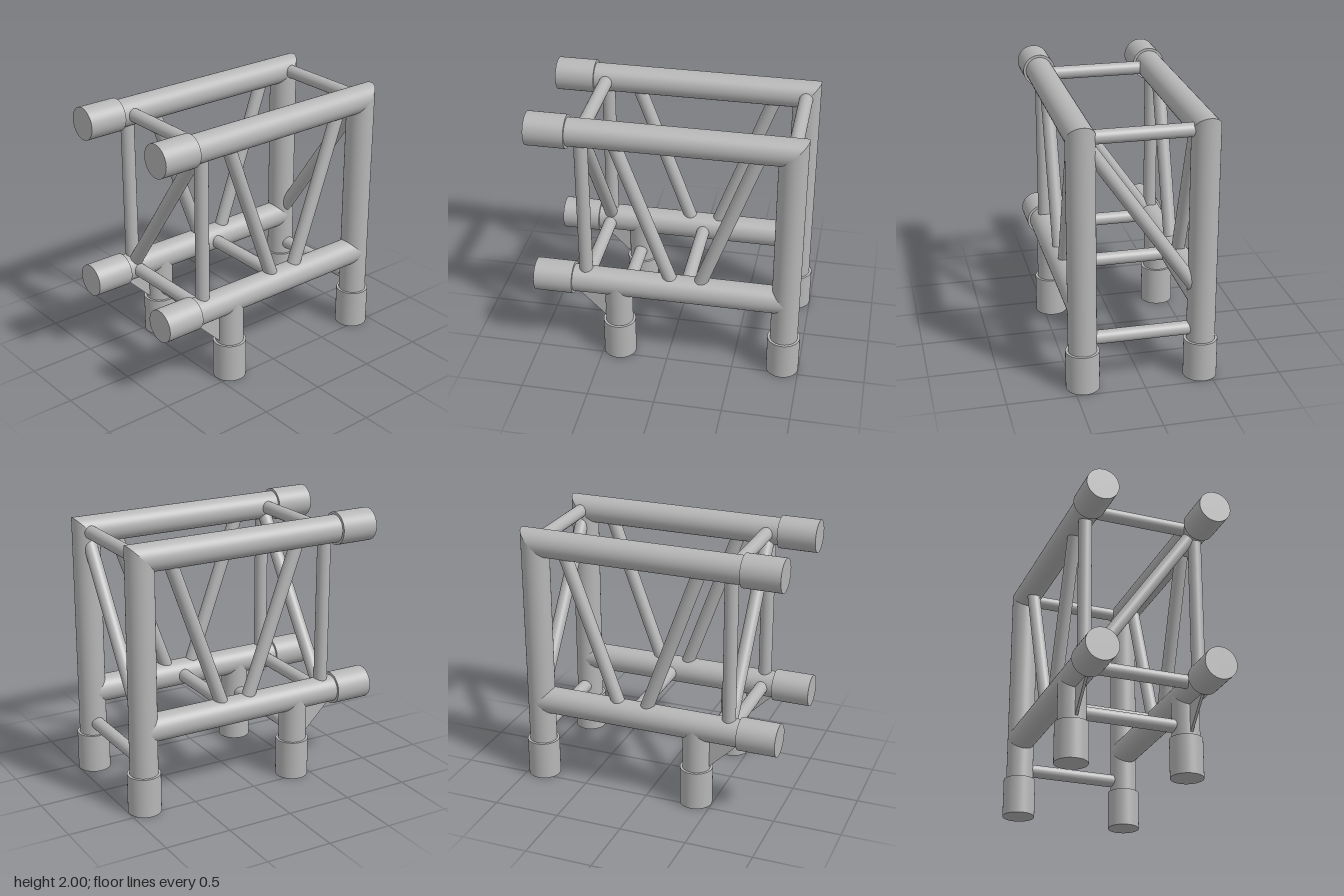
import * as THREE from 'three';

const Z = 0.433;          // side frame offset
const TOP = 1.88, LOW = 0.63; // chord heights
const COL = 0.877, LEG = -0.375, POST = -0.62; // x of column, short leg, end post
const R = 0.103, COLLAR_R = 0.122, BRACE_R = 0.05;

export function createModel() {
  const model = new THREE.Group();
  model.name = 'trussCorner';
  const metal = new THREE.MeshStandardMaterial({ color: 0xb6b6b6 });
  metal.name = 'greyMetal';

  function add(name, geometry, parent) {
    const mesh = new THREE.Mesh(geometry, metal);
    mesh.name = name;
    parent.add(mesh);
    return mesh;
  }

  // Round bar between two points, vertices baked in place
  function bar(name, a, b, radius, parent, open = false) {
    const from = new THREE.Vector3(...a), to = new THREE.Vector3(...b);
    const dir = to.clone().sub(from);
    const geo = new THREE.CylinderGeometry(radius, radius, dir.length(), 40, 1, open);
    geo.applyQuaternion(new THREE.Quaternion().setFromUnitVectors(
      new THREE.Vector3(0, 1, 0), dir.normalize()));
    geo.translate(...from.add(to).multiplyScalar(0.5).toArray());
    return add(name, geo, parent);
  }

  // Cut the top corner end of a tube at 45 degrees
  function mitre(mesh, alongX) {
    const p = mesh.geometry.attributes.position;
    for (let i = 0; i < p.count; i++) {
      const x = p.getX(i), y = p.getY(i);
      if (alongX && x > 0) p.setX(i, COL + (y - TOP));
      if (!alongX && y > 1) p.setY(i, TOP + (x - COL));
    }
  }

  for (const [side, z] of [['front', Z], ['back', -Z]]) {
    const frame = new THREE.Group();
    frame.name = side + 'Frame';
    model.add(frame);

    // Main tubes
    mitre(bar('topChord', [-0.8, TOP, z], [COL, TOP, z], R, frame, true), true);
    mitre(bar('column', [COL, 0.2, z], [COL, TOP, z], R, frame, true), false);
    bar('lowerChord', [-0.8, LOW, z], [COL, LOW, z], R, frame, true);
    bar('shortLeg', [LEG, 0.2, z], [LEG, LOW, z], R, frame, true);

    // End collars
    for (const y of [TOP, LOW]) bar('chordCollar', [-1, y, z], [-0.71, y, z], COLLAR_R, frame);
    for (const x of [COL, LEG]) bar('footCollar', [x, 0, z], [x, 0.295, z], COLLAR_R, frame);

    // Post and V braces
    bar('endPost', [POST, LOW, z], [POST, TOP, z], BRACE_R, frame);
    for (const s of [-1, 1]) {
      bar('vBrace', [0.13 + s * 0.084, LOW, z], [0.13 + s * 0.536, TOP, z], BRACE_R, frame);
    }

    // Triangular gusset beside the short leg
    const tri = new THREE.Shape([
      new THREE.Vector2(-0.71, 0.55), new THREE.Vector2(-0.45, 0.29), new THREE.Vector2(-0.45, 0.55),
    ]);
    const plate = new THREE.ExtrudeGeometry(tri, { depth: 0.02, bevelEnabled: false });
    plate.translate(0, 0, z - 0.01);
    add('gusset', plate, frame);
  }

  // Cross bars joining the two frames
  for (const [x, y] of [[COL, TOP], [POST, TOP], [POST, LOW], [0.13, LOW], [COL, 0.385], [LEG, 0.385]]) {
    bar('crossBar', [x, y, -Z], [x, y, Z], BRACE_R, model);
  }
  // Diagonals from front top to back bottom
  for (const x of [COL, POST]) bar('crossDiagonal', [x, TOP, Z], [x, LOW, -Z], BRACE_R, model);

  return model;
}
